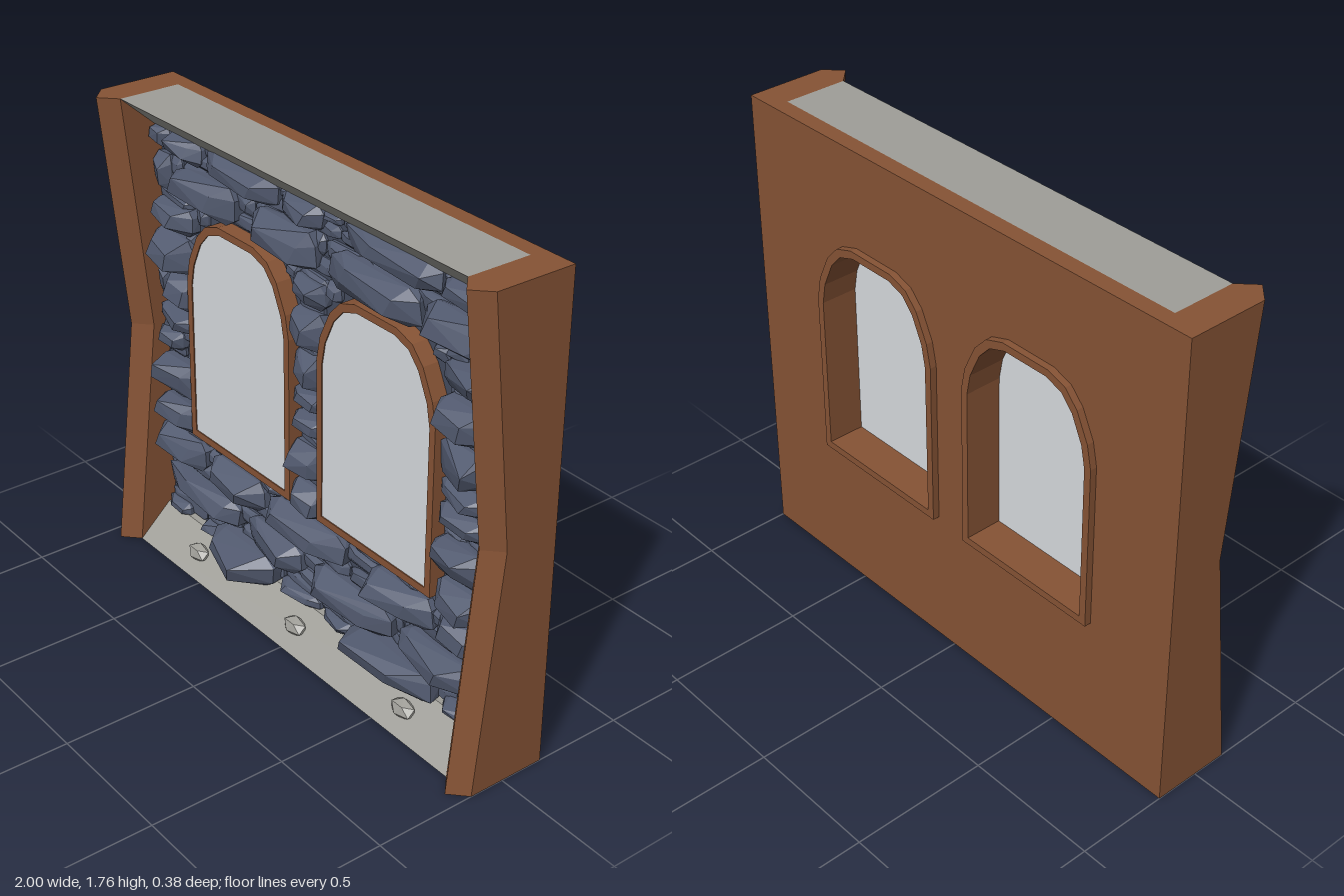
import * as THREE from 'three';
import { ConvexGeometry } from 'three/addons/geometries/ConvexGeometry.js';
import { mergeGeometries } from 'three/addons/utils/BufferGeometryUtils.js';

const mat = (name, color, extra = {}) => {
  const m = new THREE.MeshStandardMaterial({ color, ...extra });
  m.name = name;
  return m;
};

const H = 1.76, IN = 0.88, WALL_Z = -0.03, PLATE_Z = -0.105, BACK_Z = -0.165;
const WINDOWS = [-0.369, 0.365];

// Small seeded generator for the stone shapes
let seed = 7;
const rand = (a = 0, b = 1) => {
  seed = (seed * 16807) % 2147483647;
  return a + (b - a) * seed / 2147483647;
};

// Arched window outline, inset by d from the frame's outer edge
function archPoints(cx, d = 0) {
  const half = [[0.292, 0.525], [0.292, 1.14], [0.275, 1.225], [0.227, 1.325], [0.175, 1.38], [0.1, 1.405]];
  const mid = 1.0;
  const right = half.map(([x, y]) => [x * (0.292 - d) / 0.292, y < mid ? y + d : mid + (y - mid) * (0.405 - d) / 0.405]);
  const left = right.map(([x, y]) => [-x, y]).reverse();
  return [...right, ...left].map(([x, y]) => new THREE.Vector2(x + cx, y));
}

function extrude(shape, z0, z1) {
  const g = new THREE.ExtrudeGeometry(shape, { depth: z1 - z0, bevelEnabled: false });
  return g.translate(0, 0, z0);
}

// Rectangular slab with both window openings
function slab(y0, y1, z0, z1) {
  const s = new THREE.Shape([[-IN, y0], [IN, y0], [IN, y1], [-IN, y1]].map(p => new THREE.Vector2(...p)));
  WINDOWS.forEach(cx => s.holes.push(new THREE.Path(archPoints(cx, 0.005))));
  return extrude(s, z0, z1);
}

// Profile in (z, y) swept across the width between the posts
function acrossWidth(profile) {
  const s = new THREE.Shape(profile.map(p => new THREE.Vector2(...p)));
  return extrude(s, -IN, IN).rotateY(-Math.PI / 2);
}

// Side post with a pointed front, pinched at mid height
function postGeometry() {
  const s = new THREE.Shape([[-0.06, -0.13], [0, -0.188], [0.06, -0.13], [0.06, -BACK_Z], [-0.06, -BACK_Z]]
    .map(p => new THREE.Vector2(...p)));
  const g = new THREE.ExtrudeGeometry(s, { depth: H, steps: 2, bevelEnabled: false }).rotateX(-Math.PI / 2);
  const p = g.attributes.position;
  for (let i = 0; i < p.count; i++) {
    if (p.getZ(i) > 0) p.setZ(i, p.getZ(i) - 0.095 * (1 - Math.abs(p.getY(i) - H / 2) / (H / 2)));
  }
  g.computeVertexNormals();
  return g;
}

// Rough-hewn stone: hull of jittered rings, the front one smaller and off centre
function stone(x0, x1, y0, y1, depth) {
  const cx = (x0 + x1) / 2, cy = (y0 + y1) / 2, w = (x1 - x0) / 2, h = (y1 - y0) / 2;
  const corners = [[1, 0.5], [0.8, 1], [-0.75, 1], [-1, 0.6], [-1, -0.5], [-0.8, -1], [0.75, -1], [1, -0.6]];
  const shiftX = rand(-0.22, 0.22), shiftY = rand(-0.15, 0.25);
  const pts = [];
  for (const [scale, z] of [[0.96, -0.01], [1, depth * 0.4], [0.6, depth]]) {
    const front = z === depth;
    const tilt = front ? rand(-0.3, 0.3) : 0;
    corners.forEach(([x, y], i) => {
      if (front && i % 2) return;
      pts.push(new THREE.Vector3(
        cx + w * (x * scale * rand(0.9, 1) + (front ? shiftX : 0)),
        cy + h * (y * scale * rand(0.78, 1) + (front ? shiftY : 0)),
        WALL_Z + z * rand(0.75, 1) * (1 + tilt * x)));
    });
  }
  const g = new ConvexGeometry(pts);
  g.deleteAttribute('uv');
  return g;
}

// Main courses: [bottom, top, [left, right] ...]
const COURSES = [
  [1.56, 1.655, [-0.88, -0.79], [-0.78, -0.59], [-0.15, 0.07], [0.65, 0.88]],
  [1.56, 1.67, [-0.56, -0.16], [0.18, 0.64]],
  [1.41, 1.555, [-0.88, -0.79], [-0.74, -0.39], [-0.3, 0.05], [0.1, 0.56], [0.57, 0.88]],
  [1.285, 1.39, [-0.88, -0.65], [-0.09, 0.08], [0.65, 0.88]],
  [1.14, 1.28, [-0.88, -0.65], [-0.09, 0.08], [0.65, 0.88]],
  [0.99, 1.13, [-0.88, -0.8], [-0.82, -0.66], [-0.08, 0.07], [0.65, 0.86]],
  [0.9, 0.98, [-0.88, -0.65], [-0.09, 0.08], [0.65, 0.88]],
  [0.81, 0.89, [-0.88, -0.74], [-0.08, 0.08], [0.65, 0.88]],
  [0.64, 0.78, [-0.88, -0.65], [-0.09, 0.08], [0.65, 0.88]],
  [0.5, 0.625, [-0.88, -0.65], [-0.09, 0.08], [0.66, 0.88]],
  [0.365, 0.5, [-0.88, -0.6], [-0.57, -0.24], [-0.22, 0.21], [0.34, 0.66], [0.68, 0.88]],
  [0.215, 0.345, [-0.85, -0.4], [-0.35, -0.03], [0.02, 0.46], [0.49, 0.88]],
  [0.095, 0.225, [-0.54, -0.17], [0.25, 0.69]],
  [0.11, 0.165, [-0.88, -0.74], [-0.64, -0.54], [-0.17, 0.05], [0.07, 0.24], [0.7, 0.88]],
];

// Areas of thin packing stones behind the main courses: x0, x1, y0, y1
const PACKING = [
  [-0.88, 0.88, 0.12, 0.52], [-0.88, 0.88, 1.41, 1.64],
  [-0.88, -0.66, 0.52, 1.42], [-0.077, 0.073, 0.52, 1.42], [0.657, 0.88, 0.52, 1.42],
  [-0.66, -0.59, 1.34, 1.41], [-0.15, -0.07, 1.34, 1.41], [0.07, 0.14, 1.34, 1.41], [0.59, 0.66, 1.34, 1.41],
];

export function createModel() {
  const wood = mat('brown wood', 0x865335);
  const plaster = mat('grey stone trim', 0x9f9e98);
  const rock = mat('blue grey rock', 0x525a6f, { flatShading: true });
  const mortar = mat('dark mortar', 0x444b5d);
  const glass = mat('pale glass', 0xd7dade);

  const group = new THREE.Group();
  group.name = 'wallSection';
  const add = (name, geometry, material) => {
    const m = new THREE.Mesh(geometry, material);
    m.name = name;
    group.add(m);
    return m;
  };

  // Wall layers
  add('backPlate', slab(0, H, BACK_Z, PLATE_Z), wood);
  add('stoneBacking', slab(0.1, 1.66, PLATE_Z, WALL_Z), mortar);

  // Sloped sill and ceiling trim
  add('floorTrim', acrossWidth([[PLATE_Z, 0], [0.13, 0], [0, 0.12], [PLATE_Z, 0.12]]), plaster);
  add('ceilingTrim', acrossWidth([[PLATE_Z, H], [PLATE_Z, 1.645], [0, 1.645], [0.13, H]]), plaster);

  // Posts
  for (const side of [-1, 1]) {
    add(side > 0 ? 'leftPost' : 'rightPost', postGeometry(), wood).position.x = side * 0.94;
  }

  // Windows: frame through the whole wall, and thick pane set towards the front
  for (const cx of WINDOWS) {
    const s = new THREE.Shape(archPoints(cx));
    s.holes.push(new THREE.Path(archPoints(cx, 0.027)));
    add('windowFrame', extrude(s, -0.19, 0.03), wood);
    add('windowPane', extrude(new THREE.Shape(archPoints(cx, 0.025)), -0.052, 0.026), glass);
  }

  // Stone facing; the lowest big stones bulge out over the sill
  const stones = [];
  for (const [y0, y1, ...spans] of COURSES) {
    const bulge = y0 < 0.1 ? 0.06 : 0;
    for (const [x0, x1] of spans) {
      stones.push(stone(x0, x1, y0, y1, bulge + 0.035 + 0.55 * Math.min(y1 - y0, (x1 - x0) * 0.6)));
    }
  }
  add('facingStones', mergeGeometries(stones), rock);

  const packing = [];
  for (const [x0, x1, y0, y1] of PACKING) {
    for (let y = y0; y < y1 - 0.03;) {
      const top = Math.min(y + rand(0.05, 0.085), y1);
      for (let x = x0; x < x1 - 0.03;) {
        const end = Math.min(x + rand(0.08, 0.24), x1);
        packing.push(stone(x, end, y, top, rand(0.015, 0.04)));
        x = end;
      }
      y = top;
    }
  }
  add('packingStones', mergeGeometries(packing), rock);

  // Pebbles on the sloped sill
  for (const x of [-0.588, 0, 0.588]) {
    const g = new THREE.IcosahedronGeometry(1, 0).rotateZ(0.3).scale(0.058, 0.03, 0.036).rotateX(0.75);
    g.computeVertexNormals();
    add('pebble', g, plaster).position.set(x, 0.064, 0.066);
  }
  return group;
}
